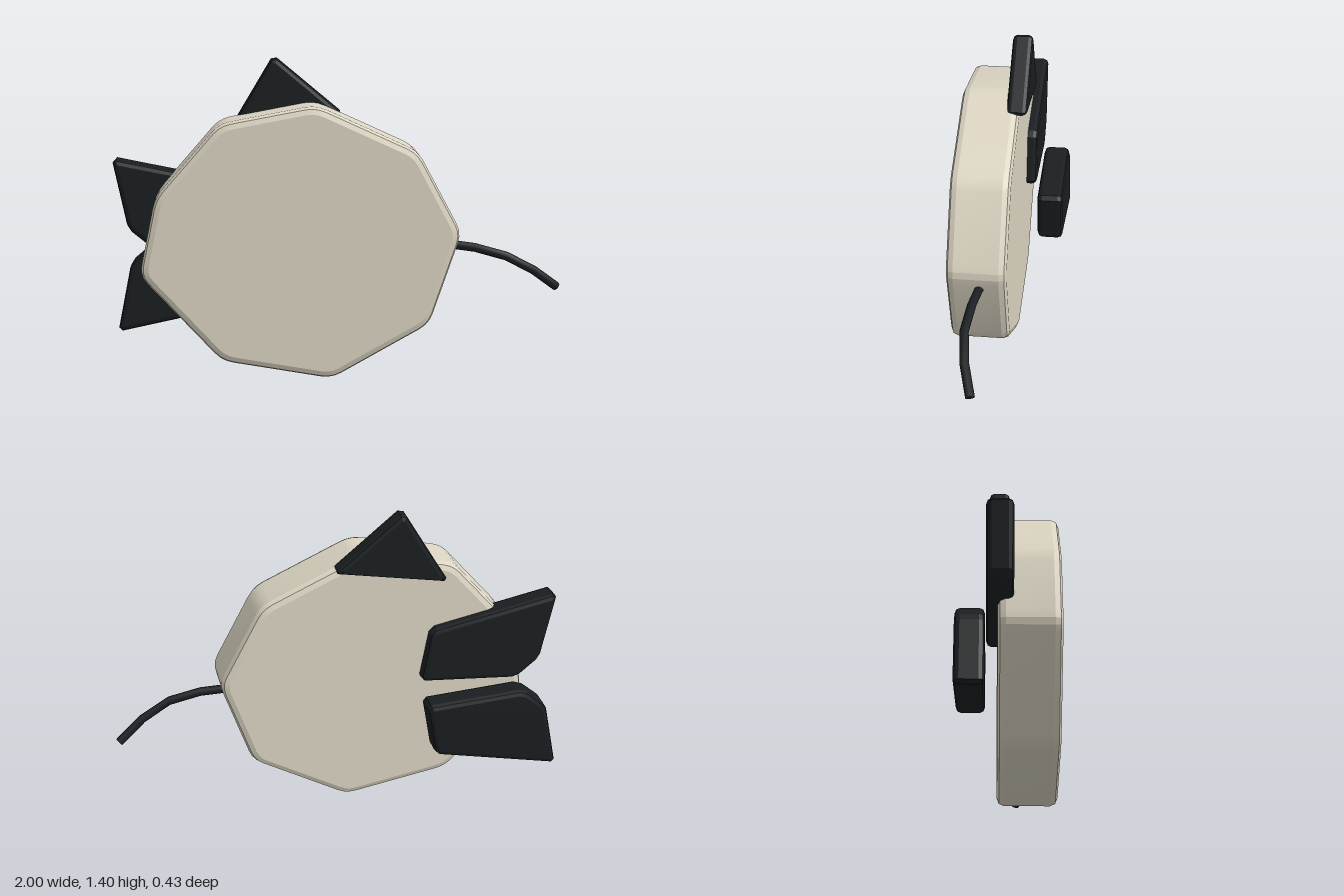
import * as THREE from 'three';
import { toCreasedNormals } from 'three/addons/utils/BufferGeometryUtils.js';

const cream = new THREE.MeshStandardMaterial({ color: 0xdcd5c3 });
const black = new THREE.MeshStandardMaterial({ color: 0x1a1e20 });

// Polygon whose corners are softened over the distance cut, in n steps
function softPolygon(corners, cut, n) {
  const v = corners.map(([x, y]) => new THREE.Vector2(x, y));
  const toward = (a, b) => a.clone().add(b.clone().sub(a).setLength(cut));
  const points = v.flatMap((p, i) => {
    const before = toward(p, v[(i + v.length - 1) % v.length]);
    const after = toward(p, v[(i + 1) % v.length]);
    return new THREE.QuadraticBezierCurve(before, p, after).getPoints(n);
  });
  return new THREE.Shape(points);
}

// Slab between two z positions, with bevelled rims inside the outline
function slab(name, corners, zBack, zFront, bevel, cut, n, material) {
  const geometry = new THREE.ExtrudeGeometry(softPolygon(corners, cut, n), {
    depth: zFront - zBack - 2 * bevel,
    bevelThickness: bevel,
    bevelSize: bevel,
    bevelOffset: -bevel,
    bevelSegments: 2,
  });
  geometry.translate(0, 0, zBack + bevel);
  const mesh = new THREE.Mesh(toCreasedNormals(geometry, 0.25), material);
  mesh.name = name;
  return mesh;
}

export function createModel() {
  const model = new THREE.Group();
  model.name = 'flatCreature';

  // Nine-sided body
  const outline = [
    [-0.11, 1.215], [0.335, 1.01], [0.53, 0.645], [0.39, 0.235], [-0.045, -0.008],
    [-0.53, 0.08], [-0.885, 0.47], [-0.812, 0.815], [-0.53, 1.137],
  ].reverse();
  model.add(slab('body', outline, -0.045, 0.215, 0.032, 0.05, 3, cream));

  // Triangular fin on top
  const topFin = [[-0.29, 1.415], [-0.5, 1.066], [0.02, 1.155]];
  model.add(slab('topFin', topFin, -0.08, 0.01, 0.02, 0.02, 1, black));

  // Pair of side fins, mirrored up and down, one behind the other
  const fin = [[-1.01, 0.963], [-0.945, 0.645], [-0.835, 0.553], [-0.38, 0.585], [-0.425, 0.84]];
  const mirrored = fin.map(([x, y]) => [x, 1.105 - y]).reverse();
  model.add(slab('upperSideFin', fin, -0.092, 0.02, 0.022, 0.02, 1, black));
  model.add(slab('lowerSideFin', mirrored, -0.215, -0.095, 0.022, 0.02, 1, black));

  // Thin bent tail
  const path = new THREE.CurvePath();
  const bends = [
    [0.46, 0.577, 0.065], [0.605, 0.56, 0.09], [0.77, 0.515, 0.107],
    [0.885, 0.445, 0.085], [0.985, 0.367, 0.05],
  ].map((p) => new THREE.Vector3(...p));
  for (let i = 1; i < bends.length; i++) path.add(new THREE.LineCurve3(bends[i - 1], bends[i]));
  const tail = new THREE.Mesh(new THREE.TubeGeometry(path, 4, 0.02, 8), black);
  tail.name = 'tail';
  model.add(tail);

  // Flat end of the tail
  const tip = new THREE.Mesh(new THREE.CircleGeometry(0.02, 8), black);
  tip.name = 'tailTip';
  tip.position.copy(bends[4]);
  tip.lookAt(bends[4].clone().multiplyScalar(2).sub(bends[3]));
  model.add(tip);

  return model;
}
